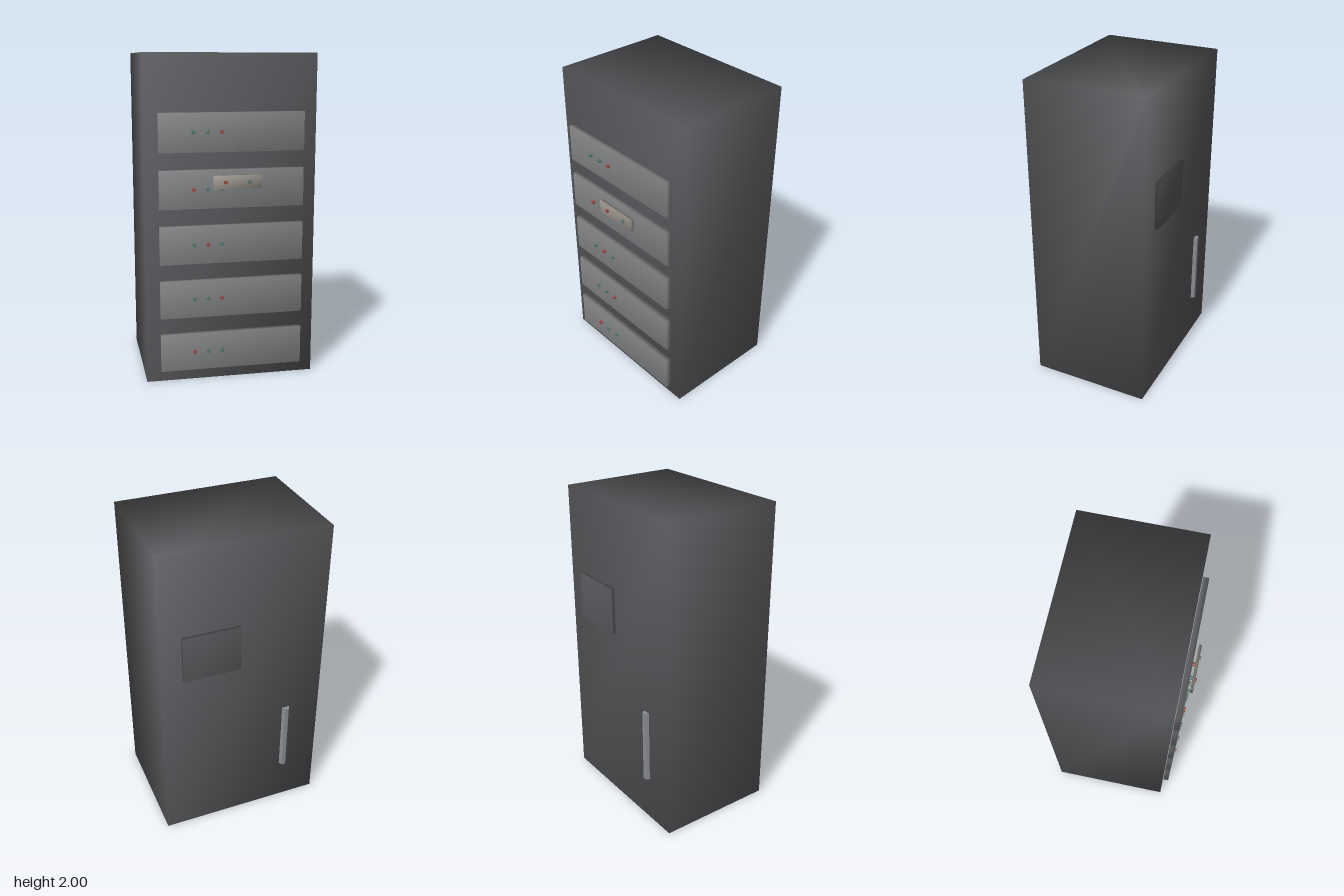
import * as THREE from 'three';
import { mergeVertices } from 'three/addons/utils/BufferGeometryUtils.js';

const mat = (color) => new THREE.MeshStandardMaterial({ color });
const cabinetMat = mat(0x5a5b5e);
const drawerMat = mat(0x808284);
const plateMat = mat(0x9a958c);
const handleMat = mat(0x8c8f92);
const redMat = mat(0x9c4f4b);
const greenMat = mat(0x587a70);

// Box given by its limits, with corner normals shared so it shades softly
function softBox(name, material, [x0, x1], [y0, y1], [z0, z1]) {
  let geo = new THREE.BoxGeometry(x1 - x0, y1 - y0, z1 - z0);
  geo.deleteAttribute('normal');
  geo.deleteAttribute('uv');
  geo = mergeVertices(geo);
  geo.computeVertexNormals();
  const mesh = new THREE.Mesh(geo, material);
  mesh.name = name;
  mesh.position.set((x0 + x1) / 2, (y0 + y1) / 2, (z0 + z1) / 2);
  return mesh;
}

// Short round button pointing forward from depth z
function button(name, material, x, y, z, length) {
  const geo = new THREE.CylinderGeometry(0.012, 0.012, length, 12).rotateX(Math.PI / 2);
  const mesh = new THREE.Mesh(geo, material);
  mesh.name = name;
  mesh.position.set(x, y, z + length / 2);
  return mesh;
}

export function createModel() {
  const model = new THREE.Group();
  model.name = 'cabinet';

  model.add(softBox('cabinetBody', cabinetMat, [-0.525, 0.525], [0, 2], [-0.413, 0.344]));

  // Five front panels, each with three buttons of which one is red
  const redIndex = [0, 2, 1, 0, 2];
  redIndex.forEach((red, i) => {
    const row = new THREE.Group();
    row.name = 'frontPanel' + (i + 1);
    const y = 0.192 + i * 0.337;
    row.add(softBox('panel', drawerMat, [-0.441, 0.441], [y - 0.117, y + 0.117], [0.348, 0.384]));
    for (let k = 0; k < 3; k++) {
      row.add(button('panelButton', k === red ? redMat : greenMat, -0.234 + k * 0.085, y + 0.001, 0.383, 0.017));
    }
    model.add(row);
  });

  // Small control plate in front of the fourth panel
  const plate = new THREE.Group();
  plate.name = 'controlPlate';
  plate.add(softBox('plate', plateMat, [-0.122, 0.171], [1.205, 1.288], [0.404, 0.422]));
  plate.add(button('plateButton', redMat, -0.049, 1.247, 0.421, 0.011));
  plate.add(button('plateButton', greenMat, 0.098, 1.247, 0.421, 0.011));
  model.add(plate);

  // Raised panel on the back
  model.add(softBox('backPanel', cabinetMat, [0.03, 0.39], [1.175, 1.47], [-0.436, -0.41]));

  // Upright handle on the back with a tapered section
  const section = new THREE.Shape([
    new THREE.Vector2(-0.321, 0.41),
    new THREE.Vector2(-0.27, 0.41),
    new THREE.Vector2(-0.283, 0.436),
    new THREE.Vector2(-0.308, 0.436),
  ]);
  const handleGeo = new THREE.ExtrudeGeometry(section, { depth: 0.477, bevelEnabled: false });
  handleGeo.rotateX(-Math.PI / 2);
  const handle = new THREE.Mesh(handleGeo, handleMat);
  handle.name = 'backHandle';
  handle.position.y = 0.293;
  model.add(handle);

  return model;
}
